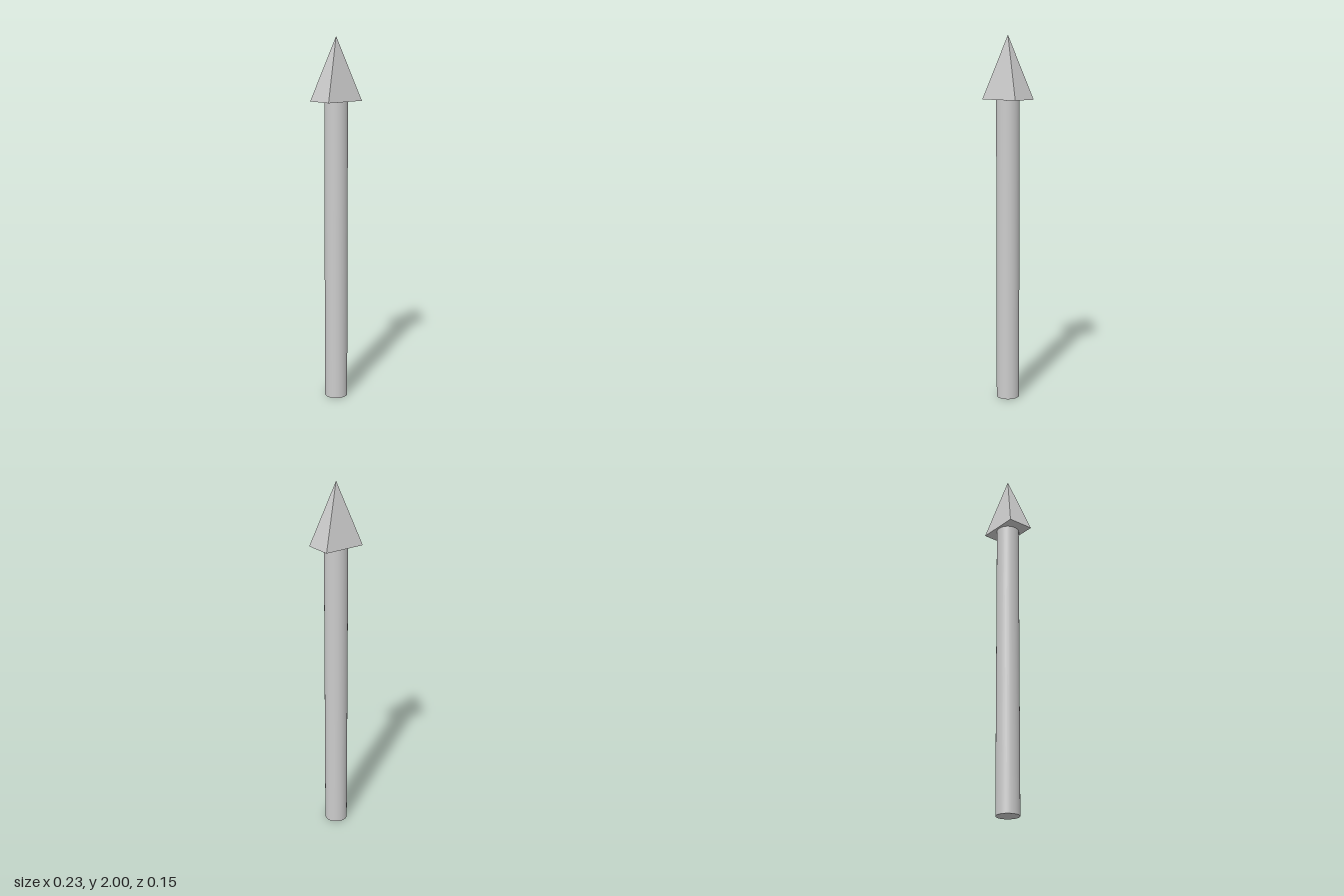
import * as THREE from 'three';

const SHAFT_HEIGHT = 1.66;
const SHAFT_RADIUS = 0.063;
const HEAD_HEIGHT = 0.34;
const HEAD_HALF_WIDTH = 0.117;
const HEAD_HALF_DEPTH = 0.075;

export function createModel() {
  const model = new THREE.Group();
  model.name = 'arrow';

  // Smooth round shaft with closed ends
  const shaftGeometry = new THREE.CylinderGeometry(SHAFT_RADIUS, SHAFT_RADIUS, SHAFT_HEIGHT, 48);
  shaftGeometry.translate(0, SHAFT_HEIGHT / 2, 0);
  const shaft = new THREE.Mesh(shaftGeometry, new THREE.MeshStandardMaterial({ color: 0xcccccc }));
  shaft.name = 'shaft';
  model.add(shaft);

  // Pyramid head: a four-sided cone turned by 45 degrees and stretched to a rectangular base
  const cone = new THREE.ConeGeometry(Math.SQRT2, HEAD_HEIGHT, 4, 1, false, Math.PI / 4);
  cone.scale(HEAD_HALF_WIDTH, 1, HEAD_HALF_DEPTH);
  cone.translate(0, SHAFT_HEIGHT + HEAD_HEIGHT / 2, 0);
  const headGeometry = cone.toNonIndexed();
  headGeometry.computeVertexNormals();
  const head = new THREE.Mesh(
    headGeometry,
    new THREE.MeshStandardMaterial({ color: 0xcccccc, flatShading: true })
  );
  head.name = 'arrowhead';
  model.add(head);

  return model;
}
